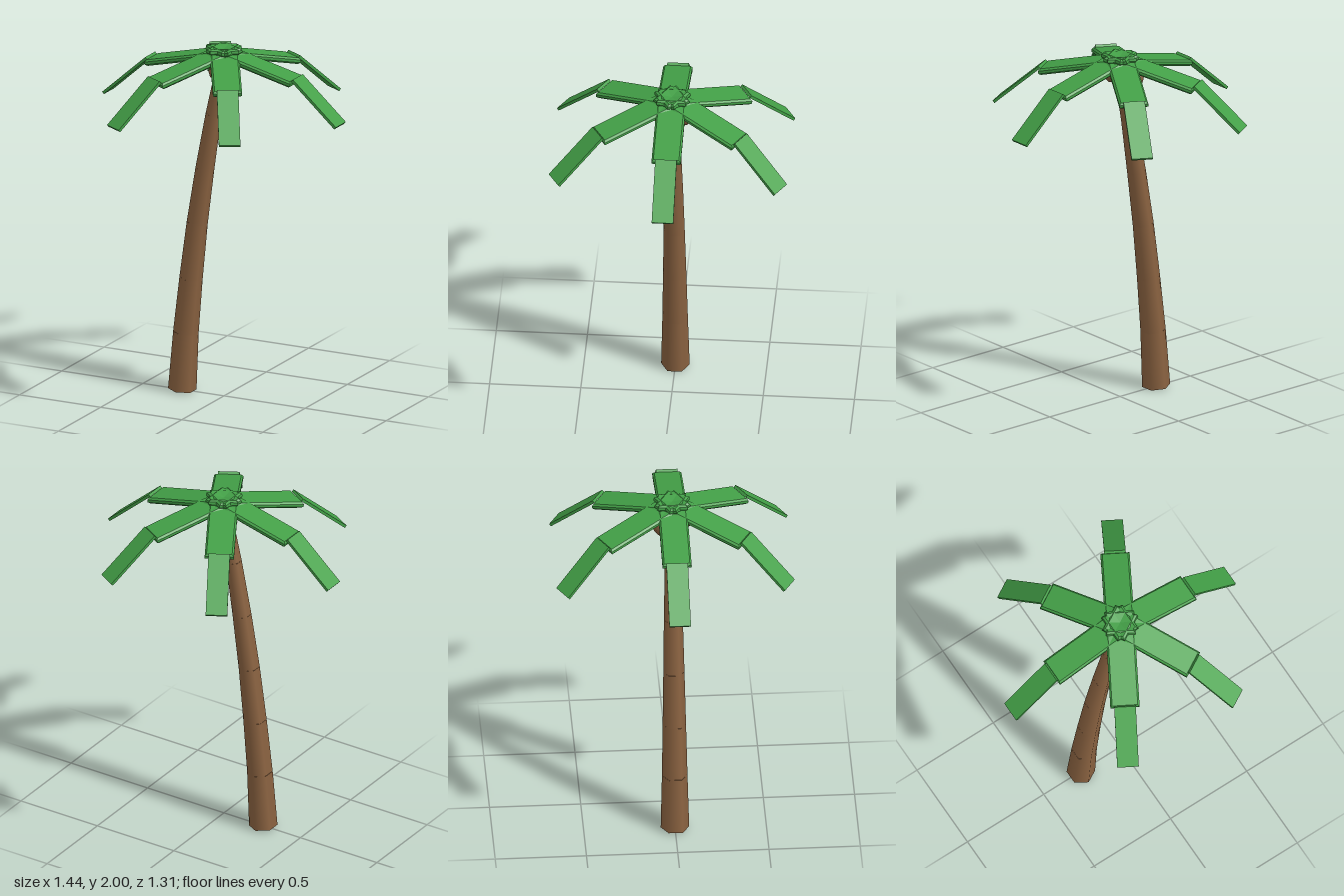
import * as THREE from 'three';

const material = (name, color, flatShading = false) => {
  const m = new THREE.MeshStandardMaterial({ color, flatShading });
  m.name = name;
  return m;
};

export function createModel() {
  const bark = material('bark brown', 0x8b6341);
  const husk = material('husk brown', 0x865c3d);
  const leaf = material('leaf green', 0x43a047, true);
  const model = new THREE.Group();
  model.name = 'palmTree';

  const add = (parent, name, geometry, mat) => {
    const mesh = new THREE.Mesh(geometry, mat);
    mesh.name = name;
    parent.add(mesh);
    return mesh;
  };

  // Leaning trunk of six-sided tapered segments: x, y, radius at each joint
  const joints = [
    [-0.257, 0.006, 0.078], [-0.235, 0.335, 0.07], [-0.203, 0.65, 0.064], [-0.165, 0.97, 0.058],
    [-0.118, 1.285, 0.052], [-0.064, 1.605, 0.044], [0.004, 1.94, 0.036],
  ];
  const trunk = new THREE.Group();
  trunk.name = 'trunk';
  model.add(trunk);
  for (let i = 0; i < joints.length - 1; i++) {
    const [x0, y0, r0] = joints[i];
    const [x1, y1, r1] = joints[i + 1];
    const geo = new THREE.CylinderGeometry(r1, r0, Math.hypot(x1 - x0, y1 - y0), 6);
    const segment = add(trunk, 'trunkSegment', geo, bark);
    segment.position.set((x0 + x1) / 2, (y0 + y1) / 2, 0);
    segment.rotation.z = -Math.atan2(x1 - x0, y1 - y0);
  }

  // Coconuts clustered under the crown
  for (const [x, y, z] of [[-0.05, 1.865, -0.05], [0, 1.88, 0.06], [0, 1.87, -0.06]]) {
    add(model, 'coconut', new THREE.SphereGeometry(0.06, 8, 6), husk).position.set(x, y, z);
  }

  // Inner frond: bevelled slab whose top face passes through the crown centre
  const outline = new THREE.Shape([
    new THREE.Vector2(-0.055, -0.07), new THREE.Vector2(0.455, -0.07),
    new THREE.Vector2(0.455, 0.07), new THREE.Vector2(-0.055, 0.07),
  ]);
  const inner = new THREE.ExtrudeGeometry(outline, {
    depth: 0.015, bevelEnabled: true, bevelSize: 0.01, bevelThickness: 0.01, bevelSegments: 1,
  });
  inner.rotateX(-Math.PI / 2).translate(0, -0.025, 0);
  inner.rotateZ(-0.236).translate(0, 1.987, 0);

  // Outer frond: thinner, steeper drooping tip
  const outer = new THREE.BoxGeometry(0.355, 0.016, 0.118);
  outer.rotateZ(-0.726).translate(0.5825, 1.767, 0);

  // Six fronds around the crown
  for (let i = 0; i < 6; i++) {
    const frond = new THREE.Group();
    frond.name = 'frond';
    frond.rotation.y = i * Math.PI / 3;
    add(frond, 'frondBase', inner, leaf);
    add(frond, 'frondTip', outer, leaf);
    model.add(frond);
  }
  return model;
}
